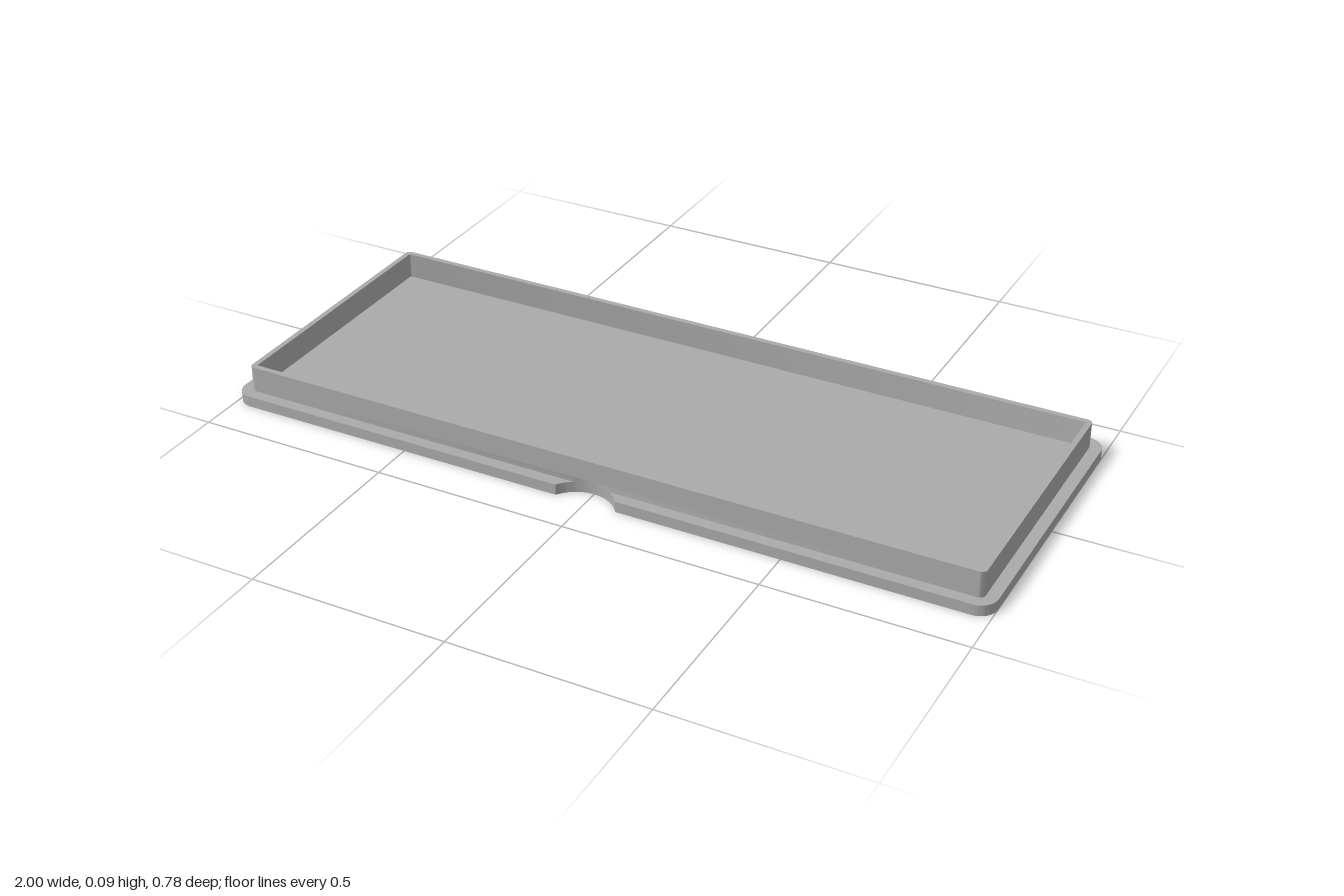
import * as THREE from 'three';
import { toCreasedNormals } from 'three/addons/utils/BufferGeometryUtils.js';

// Thumb notch: a vertical cylinder biting into the front edge
const NOTCH_Z = 0.44, NOTCH_R = 0.0935;

// Rounded rectangle outline (half sizes hx, hz), optionally notched at the front
function outline(path, hx, hz, r, notched) {
  path.moveTo(-hx + r, -hz);
  if (notched) {
    const half = Math.sqrt(NOTCH_R ** 2 - (NOTCH_Z - hz) ** 2);
    const a = Math.atan2(NOTCH_Z - hz, half);
    path.lineTo(-half, -hz);
    path.absarc(0, -NOTCH_Z, NOTCH_R, Math.PI - a, a, true);
  }
  path.lineTo(hx - r, -hz);
  path.absarc(hx - r, -hz + r, r, -Math.PI / 2, 0, false);
  path.lineTo(hx, hz - r);
  path.absarc(hx - r, hz - r, r, 0, Math.PI / 2, false);
  path.lineTo(-hx + r, hz);
  path.absarc(-hx + r, hz - r, r, Math.PI / 2, Math.PI, false);
  path.lineTo(-hx, -hz + r);
  path.absarc(-hx + r, -hz + r, r, Math.PI, Math.PI * 1.5, false);
  return path;
}

export function createModel() {
  const group = new THREE.Group();
  const grey = new THREE.MeshStandardMaterial({ color: 0xaaaaaa });
  grey.name = 'grey plastic';

  // Extrude an outline upward from y0 to y1
  function slab(name, shape, y0, y1) {
    const geo = new THREE.ExtrudeGeometry(shape, { depth: y1 - y0, bevelEnabled: false, curveSegments: 16 });
    geo.rotateX(-Math.PI / 2);
    geo.translate(0, y0, 0);
    const mesh = new THREE.Mesh(toCreasedNormals(geo, 0.6), grey);
    mesh.name = name;
    group.add(mesh);
  }

  // Thin upright wall set in from the edge of the lid
  function rimShape(notched) {
    const shape = outline(new THREE.Shape(), 0.97, 0.36, 0.014, notched);
    shape.holes.push(outline(new THREE.Path(), 0.956, 0.345, 0.004, false));
    return shape;
  }

  slab('lidPlate', outline(new THREE.Shape(), 1, 0.39, 0.045, true), 0, 0.028);
  slab('rimLower', rimShape(true), 0.028, 0.042);
  slab('rimUpper', rimShape(false), 0.042, 0.095);
  return group;
}
